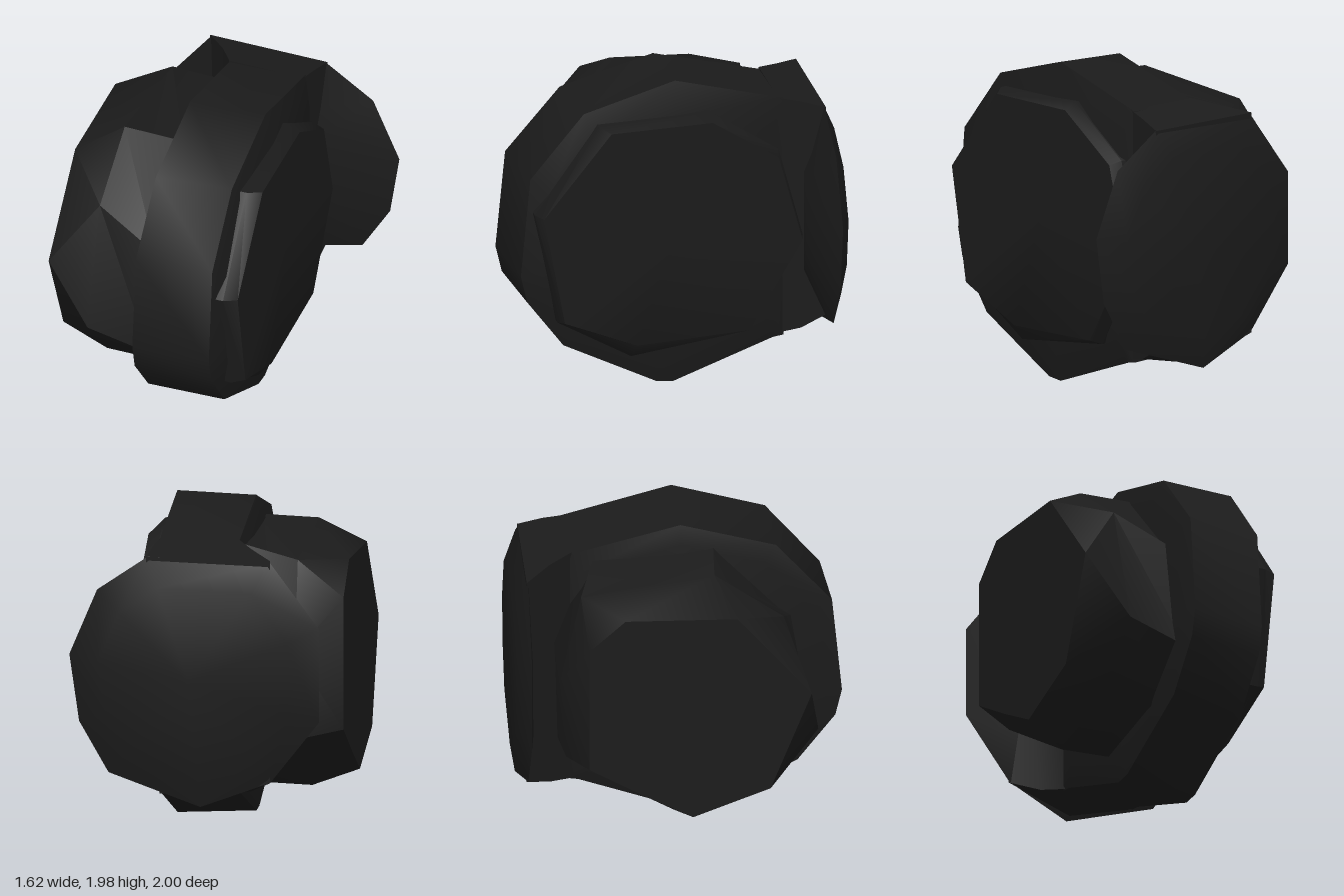
import * as THREE from 'three';
import { toCreasedNormals } from 'three/addons/utils/BufferGeometryUtils.js';

const material = new THREE.MeshStandardMaterial({ color: 0x1b1b1b });

// Skin a list of equal-length rings of [x, y, z] points and close both ends.
function loft(name, rings) {
  const n = rings[0].length;
  const positions = [];
  const tri = (...pts) => pts.forEach((p) => positions.push(...p));
  const centre = (ring) => [0, 1, 2].map((k) => ring.reduce((s, p) => s + p[k], 0) / n);
  const first = rings[0], last = rings[rings.length - 1];
  const c0 = centre(first), c1 = centre(last);
  for (let j = 0; j < n; j++) {
    const k = (j + 1) % n;
    for (let i = 0; i < rings.length - 1; i++) {
      const a = rings[i], b = rings[i + 1];
      tri(a[j], a[k], b[k]);
      tri(a[j], b[k], b[j]);
    }
    tri(c0, first[k], first[j]);
    tri(c1, last[j], last[k]);
  }
  const geometry = new THREE.BufferGeometry();
  geometry.setAttribute('position', new THREE.Float32BufferAttribute(positions, 3));
  const mesh = new THREE.Mesh(toCreasedNormals(geometry, 0.75), material);
  mesh.name = name;
  return mesh;
}

// Ring across the x axis from [z, y] points, scaled about its middle.
const ringX = (pts, x, s = 1, dz = 0, sy = s) =>
  pts.map(([z, y]) => [x, 1 + (y - 1) * sy, z * s + dz]);

export function createModel() {
  const model = new THREE.Group();

  // Wide middle drum with bevelled shoulders
  const drum = [[0.02, 1.95], [0.6, 1.79], [0.94, 1.4], [1, 0.78], [0.96, 0.61], [0.73, 0.31],
    [0.14, 0.02], [0.03, 0.01], [-0.6, 0.23], [-0.67, 0.24], [-0.67, 1.77]];
  model.add(loft('drum', [
    ringX(drum, -0.22, 0.87),
    ringX(drum, -0.185),
    ringX(drum, 0.295, 0.98, -0.02, 1.02),
    ringX(drum, 0.35, 0.87, -0.02, 0.79),
  ]));

  // Faceted barrel on the right side
  const barrelFace = [[0.32, 1.63], [0.77, 1.1], [0.52, 0.46], [0.05, 0.28],
    [-0.25, 0.44], [-0.58, 0.63], [-0.58, 1.44], [-0.36, 1.64]];
  const barrelRim = [[0.2, 1.79], [0.62, 1.49], [0.83, 0.71], [0.5, 0.32],
    [-0.05, 0.19], [-0.7, 0.58], [-0.73, 1.12], [-0.61, 1.67]];
  const barrelRoot = [[0.22, 1.8], [0.7, 1.29], [0.81, 0.61], [0.5, 0.32],
    [-0.03, 0.2], [-0.74, 0.55], [-0.76, 1.25], [-0.5, 1.75]];
  model.add(loft('barrel', [
    ringX(barrelFace, -0.815), ringX(barrelRim, -0.54), ringX(barrelRoot, -0.15),
  ]));

  // Flat plate on the left side, chamfered at top and bottom
  const plateRoot = [[-0.2, 1.77], [0.49, 1.74], [0.89, 1.2], [0.75, 0.48], [0.29, 0.21],
    [-0.45, 0.31], [-0.78, 0.9], [-0.63, 1.48]];
  const plateFace = [[-0.2, 1.73], [0.43, 1.72], [0.85, 1.2], [0.72, 0.5], [0.27, 0.31],
    [-0.43, 0.34], [-0.76, 0.9], [-0.61, 1.46]];
  model.add(loft('sidePlate', [ringX(plateRoot, 0.28), ringX(plateRoot, 0.36), ringX(plateFace, 0.44)]));

  // Flaring neck from the drum to the back flange
  const neck = (z, x0, x1, y0, yMid, y1) =>
    [[x0, y0, z], [0, yMid, z], [x1, y0, z], [x1, y1, z], [x0, y1, z]];
  model.add(loft('neck', [
    neck(-0.93, -0.42, 0.34, 0.35, 0.22, 1.715),
    neck(-0.78, -0.28, 0.32, 0.27, 0.23, 1.76),
    neck(-0.64, -0.185, 0.295, 0.24, 0.24, 1.79),
  ]));

  // Dished back flange, deeper on its left
  const rim = [[0.81, 1.11], [0.64, 1.51], [0.33, 1.72], [-0.42, 1.7], [-0.72, 1.3],
    [-0.72, 0.73], [-0.42, 0.35], [0, 0.2], [0.57, 0.39], [0.75, 0.7]];
  const ringZ = (s, depth) => rim.map(([x, y]) => {
    const px = 0.04 + (x - 0.04) * s;
    return [px, 0.97 + (y - 0.97) * s, depth(px, y)];
  });
  model.add(loft('backFlange', [
    ringZ(0.76, () => -1),
    ringZ(1, (x, y) => (y < 0.3 ? -0.97 : -0.92)),
    ringZ(0.55, (x) => -0.84 + 0.13 * x),
  ]));

  return model;
}
